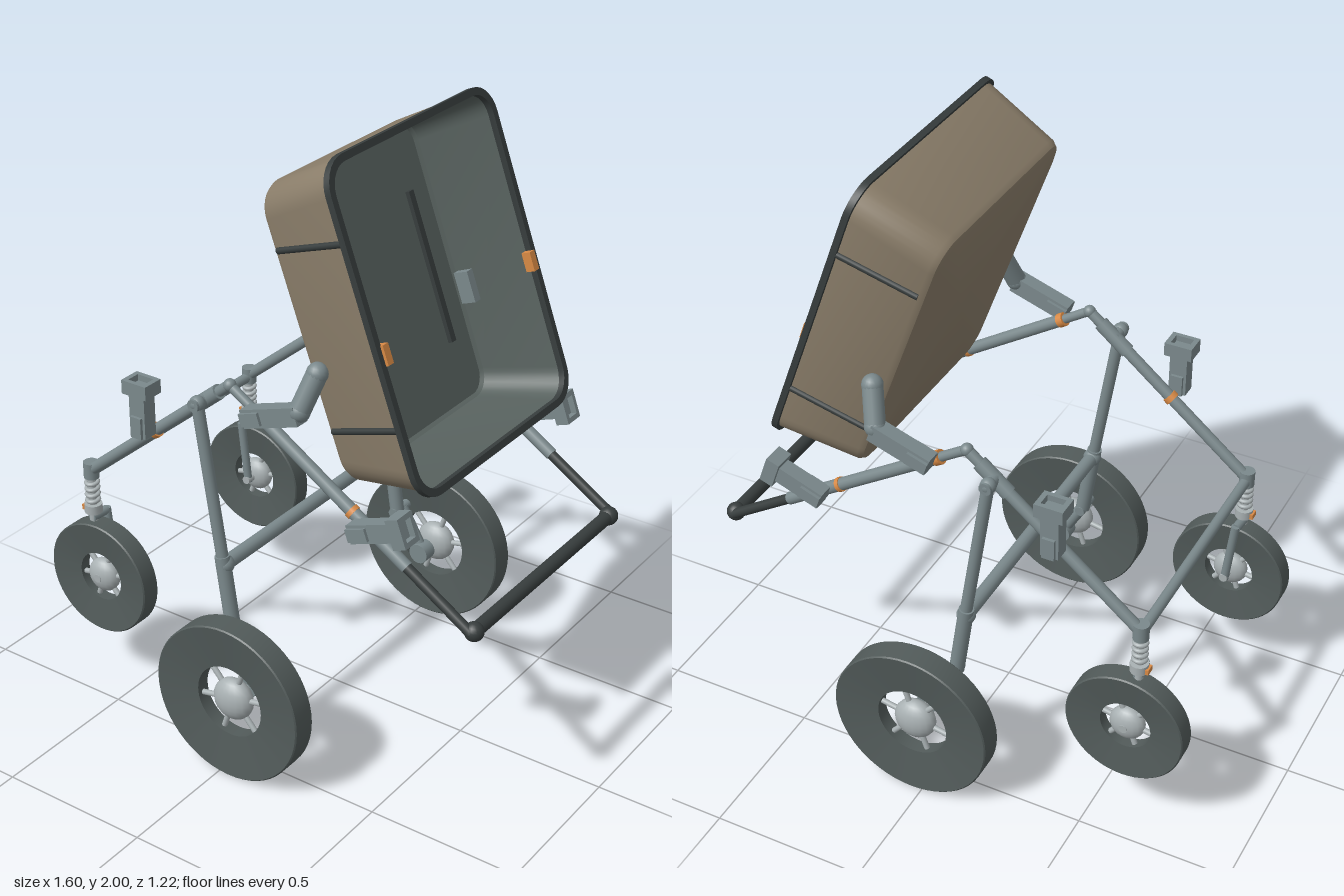
import * as THREE from 'three';
import { toCreasedNormals } from 'three/addons/utils/BufferGeometryUtils.js';

const mat = (name, color, side = THREE.FrontSide) => {
  const m = new THREE.MeshStandardMaterial({ color, side });
  m.name = name;
  return m;
};
const M = {
  frame: mat('frame grey', 0x7b898c),
  tyre: mat('tyre grey', 0x525b5a),
  tan: mat('tub tan', 0x8c7f6b),
  lining: mat('lining grey', 0x58625f),
  dark: mat('dark trim', 0x373d3d),
  hub: mat('hub silver', 0xa9b1b3),
  orange: mat('orange catch', 0xd98a45),
};
const V = (x, y, z) => new THREE.Vector3(x, y, z);

function add(parent, name, geo, material, pos) {
  const m = new THREE.Mesh(geo, material);
  m.name = name;
  if (pos) m.position.copy(pos);
  parent.add(m);
  return m;
}
// Round bar between two points
function rod(parent, name, a, b, r, material, r2 = r) {
  const d = b.clone().sub(a);
  const m = add(parent, name, new THREE.CylinderGeometry(r2, r, d.length(), 16), material, a.clone().add(b).multiplyScalar(0.5));
  m.quaternion.setFromUnitVectors(V(0, 1, 0), d.normalize());
  return m;
}
const ball = (parent, name, p, r, material) => add(parent, name, new THREE.SphereGeometry(r, 18, 12), material, p);
const box = (parent, name, w, h, d, p, material) => add(parent, name, new THREE.BoxGeometry(w, h, d), material, p);

// Skin through rounded rectangles; each section is [x, halfHeight, halfWidth, cornerRadius]
function loft(sections) {
  const n = 8, ring = 4 * n, pos = [], index = [];
  for (const [x, hy, hz, r] of sections) {
    [[1, 1], [-1, 1], [-1, -1], [1, -1]].forEach(([sy, sz], c) => {
      for (let i = 0; i < n; i++) {
        const t = (c + i / (n - 1)) * Math.PI / 2;
        pos.push(x, sy * (hy - r) + r * Math.cos(t), sz * (hz - r) + r * Math.sin(t));
      }
    });
  }
  for (let s = 0; s < sections.length - 1; s++) {
    for (let j = 0; j < ring; j++) {
      const a = s * ring + j, b = s * ring + (j + 1) % ring;
      index.push(a, b, a + ring, b, b + ring, a + ring);
    }
  }
  const g = new THREE.BufferGeometry();
  g.setAttribute('position', new THREE.Float32BufferAttribute(pos, 3));
  g.setIndex(index);
  return toCreasedNormals(g, 0.6);
}

// Wheel with dished sides, spokes and a flattened hub, axle along z
function wheel(parent, name, p, R, rIn, w, hubR) {
  const g = new THREE.Group();
  g.name = name;
  g.position.copy(p);
  const h = w / 2, k = h * 0.55;
  const profile = [[rIn, -k], [R - 0.004, -h], [R, -h + 0.004], [R, h - 0.004], [R - 0.004, h], [rIn, k], [rIn, -k]];
  const tyre = new THREE.LatheGeometry(profile.map(([x, y]) => new THREE.Vector2(x, y)), 56).rotateX(Math.PI / 2);
  add(g, 'tyre', toCreasedNormals(tyre, 0.5), M.tyre);
  ball(g, 'hub', null, hubR, M.hub).scale.z = (h + 0.002) / hubR;
  for (let i = 0; i < 6; i++) {
    const t = 0.2 + i * Math.PI / 3;
    rod(g, 'spoke', V(0, 0, 0), V(Math.cos(t), Math.sin(t), 0).multiplyScalar(rIn + 0.005), 0.009, M.hub);
  }
  parent.add(g);
}

// Clip: post with an open square socket on its end
function clip(parent, name, p, angle, length, socket) {
  const g = new THREE.Group();
  g.name = name;
  g.position.copy(p);
  g.rotation.z = angle;
  box(g, 'clipPost', 0.058, length, 0.05, V(0, length / 2, 0), M.frame);
  box(g, 'clipFoot', 0.04, 0.07, 0.07, V(0, 0.035, 0), M.frame);
  if (socket) {
    const rect = (S, a, b) => new S().moveTo(-a, -b).lineTo(a, -b).lineTo(a, b).lineTo(-a, b).closePath();
    const s = rect(THREE.Shape, 0.046, 0.036);
    s.holes.push(rect(THREE.Path, 0.03, 0.022));
    const geo = new THREE.ExtrudeGeometry(s, { depth: 0.045, bevelEnabled: false }).rotateX(-Math.PI / 2);
    add(g, 'clipSocket', geo, M.frame, V(0, length - 0.025, 0));
  }
  parent.add(g);
}

function buildTub(root) {
  const tub = new THREE.Group();
  tub.name = 'tub';
  tub.position.set(0.43, 1.525, 0);
  tub.rotation.z = 0.353;
  add(tub, 'tubShell', loft([[-0.288, 0, 0, 0], [-0.288, 0.425, 0.355, 0.07], [-0.282, 0.443, 0.373, 0.08],
    [-0.265, 0.454, 0.384, 0.09], [-0.005, 0.49, 0.415, 0.09]]), M.tan);
  add(tub, 'tubLining', loft([[0, 0.48, 0.405, 0.08], [-0.262, 0.44, 0.372, 0.07], [-0.272, 0.43, 0.362, 0.06],
    [-0.272, 0, 0, 0]]), M.lining);
  add(tub, 'tubRim', loft([[-0.012, 0.5, 0.425, 0.095], [0.008, 0.5, 0.425, 0.095], [0.008, 0.478, 0.403, 0.078],
    [-0.012, 0.478, 0.403, 0.078], [-0.012, 0.5, 0.425, 0.095]]), M.dark);
  for (const s of [1, -1]) {
    for (const y of [0.272, -0.272]) {
      rod(tub, 'sideStrap', V(-0.265, y, 0.384 * s), V(-0.005, y, 0.415 * s), 0.01, M.dark);
    }
    box(tub, 'floorRail', 0.016, 0.485, 0.024, V(-0.266, 0, 0.263 * s), M.dark);
    box(tub, 'rimCatch', 0.03, 0.06, 0.026, V(0.002, -0.055, 0.393 * s), M.orange);
  }
  root.add(tub);
}

function buildSide(root, s) {
  const side = new THREE.Group();
  side.name = s > 0 ? 'leftSide' : 'rightSide';
  root.add(side);
  const P = (x, y, z) => V(x, y, z * s);
  // Main arms meeting at the apex
  const arm = (x, z = 0.41) => P(x, 1.187 - 0.639 * x, z);
  const fore = (x) => P(x, 0.775 + (x + 0.635) * 0.821, 0.41);
  rod(side, 'foreArm', fore(-0.635), fore(-0.17), 0.019, M.frame);
  rod(side, 'foreArmSleeve', fore(-0.21), fore(-0.115), 0.024, M.frame);
  rod(side, 'foreArmTip', fore(-0.12), fore(-0.075), 0.017, M.frame);
  ball(side, 'apexJoint', fore(-0.075), 0.02, M.frame);
  rod(side, 'apexLink', arm(-0.075), arm(0.03), 0.015, M.frame);
  rod(side, 'rearArm', arm(0.02), arm(0.55), 0.02, M.frame);
  rod(side, 'handleArm', arm(0.54), arm(0.77), 0.016, M.dark);
  ball(side, 'handleKnob', arm(0.77, 0.395), 0.03, M.dark);
  // Main leg, hinge and axle lever
  rod(side, 'legHinge', P(-0.165, 1.165, 0.4), P(-0.165, 1.165, 0.475), 0.02, M.frame);
  ball(side, 'legTop', P(-0.165, 1.165, 0.452), 0.025, M.frame);
  rod(side, 'leg', P(-0.165, 1.165, 0.452), P(-0.083, 0.64, 0.452), 0.019, M.frame);
  rod(side, 'legSleeve', P(-0.088, 0.67, 0.452), P(-0.05, 0.41, 0.452), 0.024, M.frame);
  ball(side, 'crossBarJoint', P(-0.083, 0.64, 0.445), 0.03, M.frame);
  rod(side, 'leverPin', P(-0.05, 0.41, 0.425), P(-0.05, 0.41, 0.51), 0.017, M.frame);
  rod(side, 'axleLever', P(-0.05, 0.41, 0.482), P(0.035, 0.265, 0.482), 0.02, M.frame);
  rod(side, 'axleBoss', P(0.035, 0.265, 0.455), P(0.035, 0.265, 0.505), 0.035, M.frame);
  rod(side, 'axle', P(0.035, 0.265, 0.46), P(0.035, 0.265, 0.57), 0.014, M.hub);
  wheel(side, 'mainWheel', P(0.035, 0.265, 0.568), 0.265, 0.12, 0.084, 0.07);
  // Sprung caster
  rod(side, 'casterHead', P(-0.64, 0.745, 0.41), P(-0.64, 0.8, 0.41), 0.025, M.frame);
  rod(side, 'casterStem', P(-0.64, 0.59, 0.41), P(-0.64, 0.76, 0.41), 0.014, M.hub);
  for (let i = 0; i < 4; i++) {
    add(side, 'springCoil', new THREE.TorusGeometry(0.019, 0.007, 8, 20).rotateX(Math.PI / 2 + 0.12), M.hub, P(-0.64, 0.665 + i * 0.021, 0.41));
  }
  rod(side, 'casterCollar', P(-0.64, 0.62, 0.41), P(-0.64, 0.65, 0.41), 0.029, M.hub);
  box(side, 'casterCatch', 0.03, 0.018, 0.03, P(-0.66, 0.632, 0.41), M.orange);
  rod(side, 'forkCrown', P(-0.64, 0.602, 0.42), P(-0.635, 0.602, 0.355), 0.015, M.frame);
  rod(side, 'forkLeg', P(-0.635, 0.61, 0.355), P(-0.61, 0.385, 0.355), 0.014, M.frame);
  rod(side, 'casterAxle', P(-0.61, 0.395, 0.34), P(-0.61, 0.395, 0.446), 0.014, M.hub);
  wheel(side, 'casterWheel', P(-0.61, 0.395, 0.408), 0.193, 0.083, 0.07, 0.058);
  // Clips and their orange collars
  clip(side, 'foreClip', P(-0.375, 1.0, 0.457), 0, 0.165, true);
  clip(side, 'middleClip', P(0.02, 1.18, 0.455), -1.25, 0.2, false);
  clip(side, 'rearClip', P(0.395, 0.925, 0.457), -1.22, 0.18, true);
  rod(side, 'foreCollar', fore(-0.372), fore(-0.358), 0.024, M.orange);
  rod(side, 'middleCollar', arm(0.01), arm(0.03), 0.023, M.orange);
  rod(side, 'rearCollar', arm(0.355), arm(0.367), 0.023, M.orange);
  // Elbow that carries the tub
  ball(side, 'elbowJoint', P(0.205, 1.25, 0.45), 0.033, M.frame);
  rod(side, 'elbow', P(0.205, 1.25, 0.45), P(0.235, 1.36, 0.405), 0.032, M.frame);
  ball(side, 'elbowEnd', P(0.235, 1.36, 0.405), 0.033, M.frame);
  box(side, 'tubMount', 0.05, 0.1, 0.03, P(0.25, 1.35, 0.364), M.frame).rotation.z = 0.353;
}

export function createModel() {
  const root = new THREE.Group();
  root.name = 'tippingCart';
  buildTub(root);
  for (const s of [1, -1]) buildSide(root, s);
  // Bars joining the two sides
  rod(root, 'foreCrossBar', V(-0.64, 0.765, -0.41), V(-0.64, 0.765, 0.41), 0.017, M.frame);
  rod(root, 'middleCrossBar', V(-0.083, 0.64, -0.445), V(-0.083, 0.64, 0.445), 0.023, M.frame);
  rod(root, 'handleBar', V(0.77, 0.695, -0.395), V(0.77, 0.695, 0.395), 0.022, M.dark);
  return root;
}
